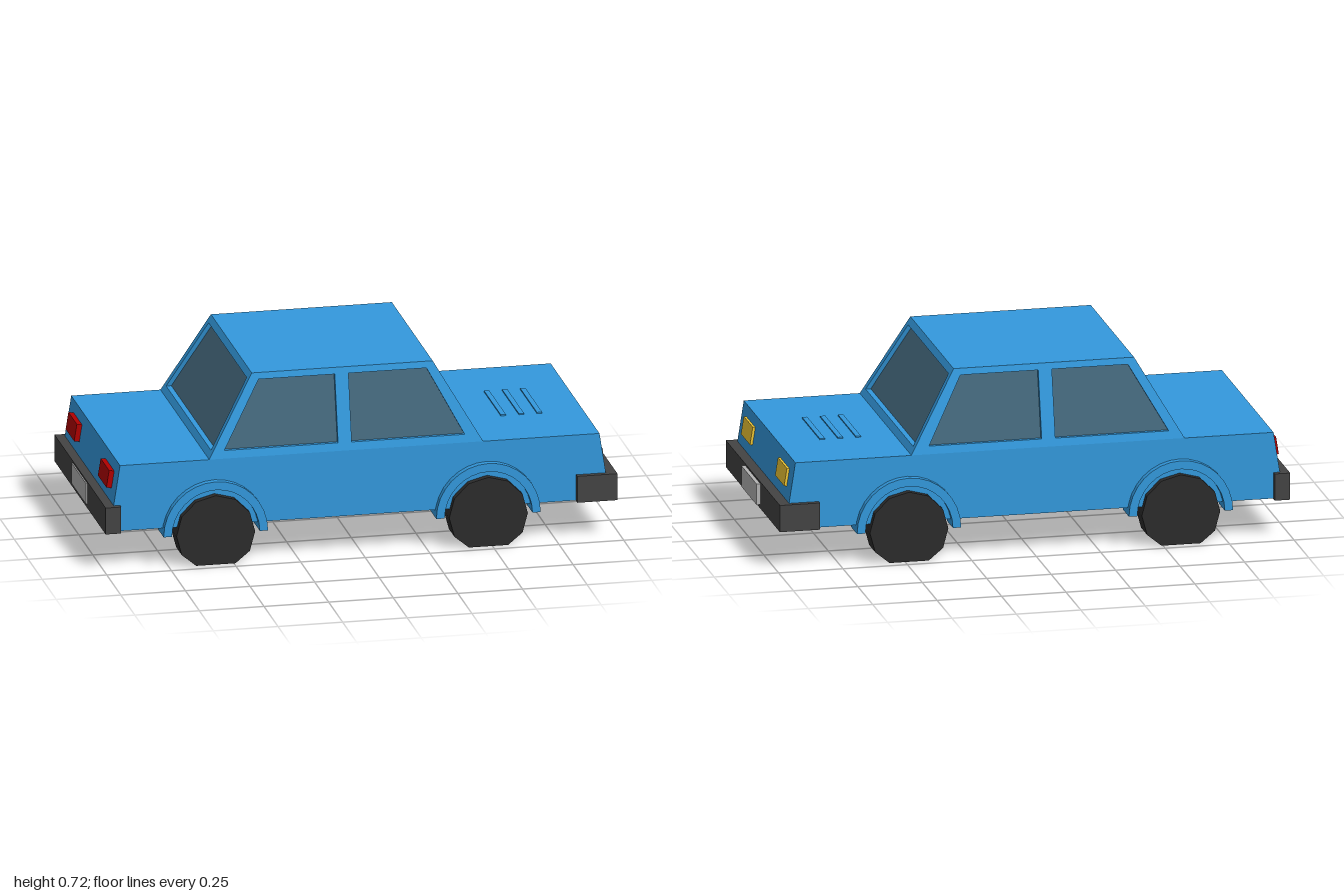
import * as THREE from 'three';

const mat = (color) => new THREE.MeshStandardMaterial({ color, flatShading: true });

export function createModel() {
  const car = new THREE.Group();
  car.name = 'car';
  const paint = mat(0x3399dd), rubber = mat(0x2c2c2c), trim = mat(0x444444);
  const glass = mat(0x44687c), yellow = mat(0xf1c835), red = mat(0xb00000), plate = mat(0xb4b4b4);

  const add = (name, geometry, material, parent = car) => {
    const mesh = new THREE.Mesh(geometry, material);
    mesh.name = name;
    parent.add(mesh);
    return mesh;
  };
  // box given by its extents along each axis
  const box = (name, material, [x0, x1], [y0, y1], [z0, z1], parent) => {
    const mesh = add(name, new THREE.BoxGeometry(x1 - x0, y1 - y0, z1 - z0), material, parent);
    mesh.position.set((x0 + x1) / 2, (y0 + y1) / 2, (z0 + z1) / 2);
    return mesh;
  };
  // side profile extruded evenly about z = 0
  const extrudeZ = (shape, width) =>
    new THREE.ExtrudeGeometry(shape, { depth: width, bevelEnabled: false, curveSegments: 8 })
      .translate(0, 0, -width / 2);
  // quads, each with corners counter-clockwise from outside
  const quads = (list) => {
    const pos = list.flatMap(([a, b, c, d]) => [a, b, c, a, c, d].flat());
    const g = new THREE.BufferGeometry();
    g.setAttribute('position', new THREE.Float32BufferAttribute(pos, 3));
    g.computeVertexNormals();
    return g;
  };

  // lower body
  const profile = new THREE.Shape([
    [-0.96, 0.15], [0.955, 0.15], [0.945, 0.25], [0.92, 0.41], [-0.935, 0.41], [-0.96, 0.25],
  ].map((p) => new THREE.Vector2(...p)));
  add('body', extrudeZ(profile, 0.872), paint);

  // cabin: framed panels with recessed glass
  const Y0 = 0.41, Y1 = 0.72, W0 = 0.436, W1 = 0.365;
  const mix = (a, b, y) => a + (b - a) * (y - Y0) / (Y1 - Y0);
  const cabin = new THREE.Group();
  cabin.name = 'cabin';
  car.add(cabin);
  const panel = (name, outer, hole, inward) => {
    const inner = hole.map((p) => p.map((v, i) => v + inward[i]));
    const frame = [];
    for (let i = 0; i < 4; i++) {
      const j = (i + 1) % 4;
      frame.push([outer[i], outer[j], hole[j], hole[i]], [hole[i], hole[j], inner[j], inner[i]]);
    }
    add(name + 'Frame', quads(frame), paint, cabin);
    add(name + 'Glass', quads([inner]), glass, cabin);
  };
  // side panels: [bottom left, bottom right, top right, top left] x positions
  const sidePanels = [
    ['rearSideWindow', [-0.59, -0.065, -0.065, -0.41], [-0.53, -0.09, -0.09, -0.385]],
    ['frontSideWindow', [-0.065, 0.47, 0.29, -0.065], [-0.037, 0.4, 0.265, -0.037]],
  ];
  for (const side of [1, -1]) {
    const place = (xs, ys) => {
      const c = xs.map((x, i) => [x, ys[i], side * mix(W0, W1, ys[i])]);
      return side > 0 ? c : c.reverse();
    };
    for (const [name, outer, hole] of sidePanels)
      panel(name, place(outer, [Y0, Y0, Y1, Y1]), place(hole, [0.44, 0.44, 0.695, 0.695]), [0, 0, -side * 0.015]);
  }
  // windscreen and rear window
  for (const [name, dir, x0, x1] of [['windscreen', 1, 0.47, 0.29], ['rearWindow', -1, -0.59, -0.41]]) {
    const place = (ya, yb, za, zb) => [[ya, za], [ya, -za], [yb, -zb], [yb, zb]]
      .map(([y, z]) => [mix(x0, x1, y), y, dir * z]);
    panel(name, place(Y0, Y1, W0, W1), place(0.435, 0.695, 0.4, 0.34), [-dir * 0.02, 0, 0]);
  }
  add('roof', quads([[[-0.41, Y1, W1], [0.29, Y1, W1], [0.29, Y1, -W1], [-0.41, Y1, -W1]]]), paint, cabin);

  // bonnet vents
  for (const x of [0.61, 0.68, 0.75])
    box('bonnetVent', paint, [x - 0.01, x + 0.01], [0.405, 0.415], [-0.15, 0.15]);

  // wheels flattened at the ground, and arches
  const axleY = 0.122;
  for (const x of [-0.57, 0.485]) for (const side of [1, -1]) {
    const tyre = new THREE.CylinderGeometry(0.152, 0.152, 0.102, 12).rotateX(Math.PI / 2);
    const p = tyre.attributes.position;
    for (let i = 0; i < p.count; i++) p.setY(i, Math.max(p.getY(i), -axleY));
    add('wheel', tyre, rubber).position.set(x, axleY, side * 0.412);

    const arch = new THREE.Shape();
    arch.absarc(0, 0, 0.202, 0, Math.PI, false);
    arch.absarc(0, 0, 0.17, Math.PI, 0, true);
    const mesh = add('wheelArch', extrudeZ(arch, 0.102), paint);
    mesh.position.set(x, axleY, side * 0.412);
    mesh.scale.y = 1.025;
  }

  // bumpers with wrapped ends, and blank plates
  const bumper = (name, outerX, innerX, wrapX) => {
    const g = new THREE.Group();
    g.name = name;
    car.add(g);
    const span = (a, b) => [Math.min(a, b), Math.max(a, b)];
    box('bumperBar', trim, span(innerX, outerX), [0.147, 0.252], [-0.457, 0.457], g);
    for (const s of [1, -1])
      box('bumperEnd', trim, span(wrapX, innerX), [0.147, 0.252], span(s * 0.425, s * 0.457), g);
  };
  bumper('frontBumper', 0.985, 0.945, 0.83);
  bumper('rearBumper', -0.995, -0.95, -0.935);
  box('frontPlate', plate, [0.98, 1], [0.163, 0.245], [-0.128, 0.128]);
  box('rearPlate', plate, [-1, -0.99], [0.163, 0.245], [-0.128, 0.128]);

  // lamps tilted to follow the sloping ends
  for (const side of [1, -1]) {
    const z = side > 0 ? [0.212, 0.364] : [-0.364, -0.212];
    box('headlamp', yellow, [0.922, 0.942], [0.298, 0.368], z).rotation.z = 0.155;
    box('tailLamp', red, [-0.967, -0.942], [0.3, 0.368], z).rotation.z = -0.155;
  }
  return car;
}
